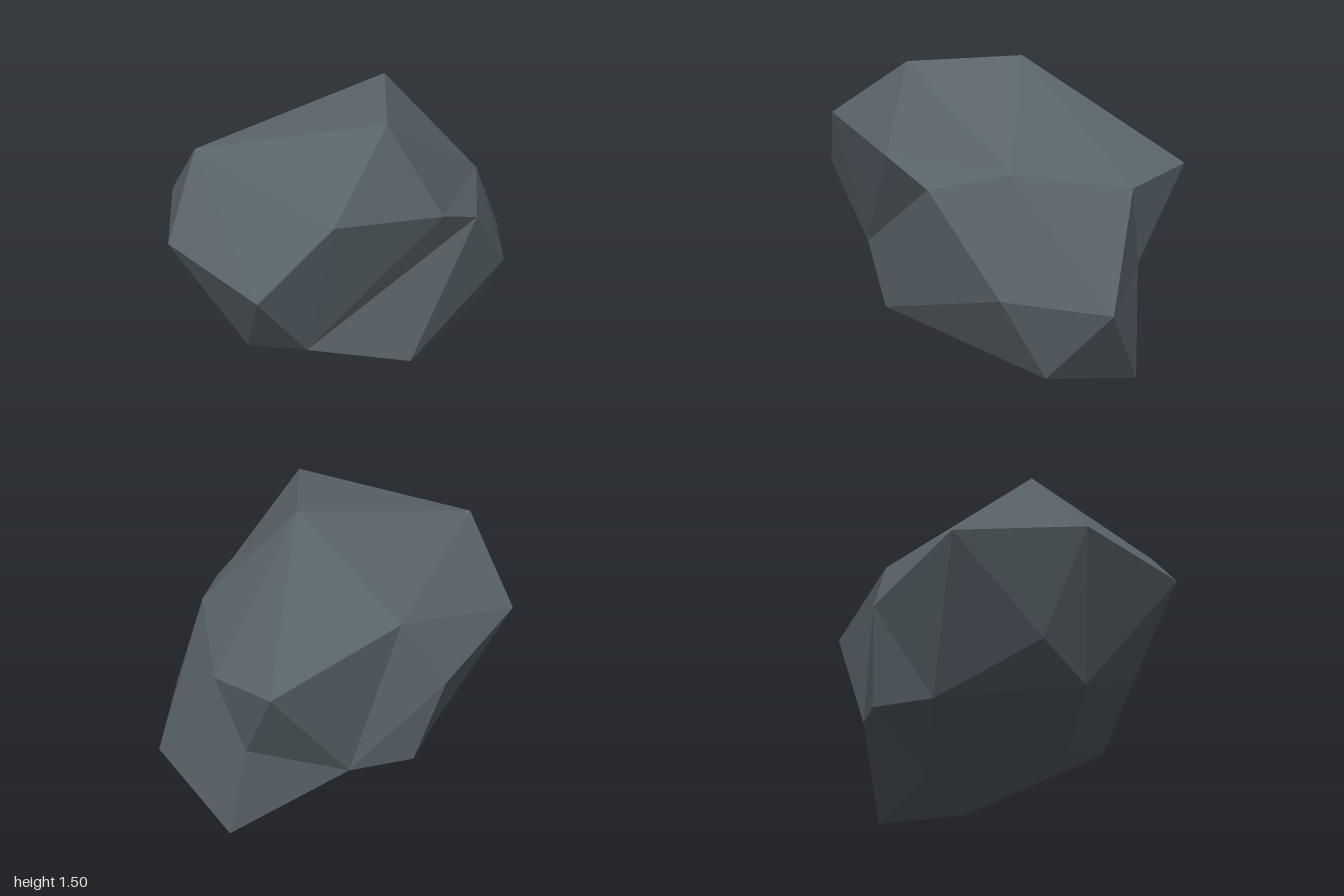
import * as THREE from 'three';

// Corner points of the boulder, grouped by height band
const corners = {
  // crown
  A: [0.2, 1.5, -0.02], B: [-0.1, 1.47, 0.45], C: [-0.52, 1.19, 0.69], D: [-0.77, 1.29, -0.13],
  // shoulders
  E: [-1, 0.93, 0.02], F: [-0.84, 0.87, 0.59], N: [0.08, 1.05, 0.65], O: [0.35, 0.93, 0.57],
  P: [0.58, 1.01, 0.27], M: [0.79, 0.93, -0.25], S: [0.71, 1, -0.62], T: [0, 1.11, -0.58],
  U: [-0.76, 0.91, -0.52], a: [-0.2, 0.77, -0.69],
  // waist
  G: [-0.56, 0.46, 0.5], Q: [0.71, 0.48, 0.4], L: [1, 0.43, 0], W: [0.71, 0.54, -0.36],
  X: [0.27, 0.36, -0.57], h: [-0.75, 0.48, -0.08],
  // foot
  H: [-0.7, 0.32, 0.15], I: [-0.2, 0.18, 0.33], R: [-0.05, 0.26, 0.62], K: [0.76, 0.09, 0.19],
  J: [0.8, 0, -0.3], Y: [0.19, 0.11, -0.26], Z: [-0.37, 0.28, -0.44], V: [-0.08, 0.31, -0.63],
};

// Facets fan out from a hub corner (first letter) to the counter-clockwise ring around it
const fans = [
  'ABPMSTDB',  // crown
  'GCFHIRONC', // front hollow
  'PBNOQLM',   // front left shoulder
  'KQRIJLQ',   // front foot
  'XSWJYVaTS', // back hollow
  'WSMLJ',     // left flank
  'UDTaZhED',  // back right
  'ZaVYIHh',   // underside
  'DEFCB',     // right shoulder
  'HFEh',      // right flank
  'IYJ', 'ORQ', 'NBC',
];

function fanGeometry() {
  const positions = [];
  for (const [hub, ...ring] of fans) {
    for (let i = 0; i + 1 < ring.length; i++) {
      positions.push(...corners[hub], ...corners[ring[i]], ...corners[ring[i + 1]]);
    }
  }
  const geometry = new THREE.BufferGeometry();
  geometry.setAttribute('position', new THREE.Float32BufferAttribute(positions, 3));
  geometry.computeVertexNormals(); // unshared corners give flat facets
  return geometry;
}

export function createModel() {
  const group = new THREE.Group();
  group.name = 'rock';
  const stone = new THREE.MeshStandardMaterial({ color: 0x59636a });
  stone.name = 'slate grey stone';
  stone.flatShading = true;
  const boulder = new THREE.Mesh(fanGeometry(), stone);
  boulder.name = 'boulder';
  group.add(boulder);
  return group;
}
